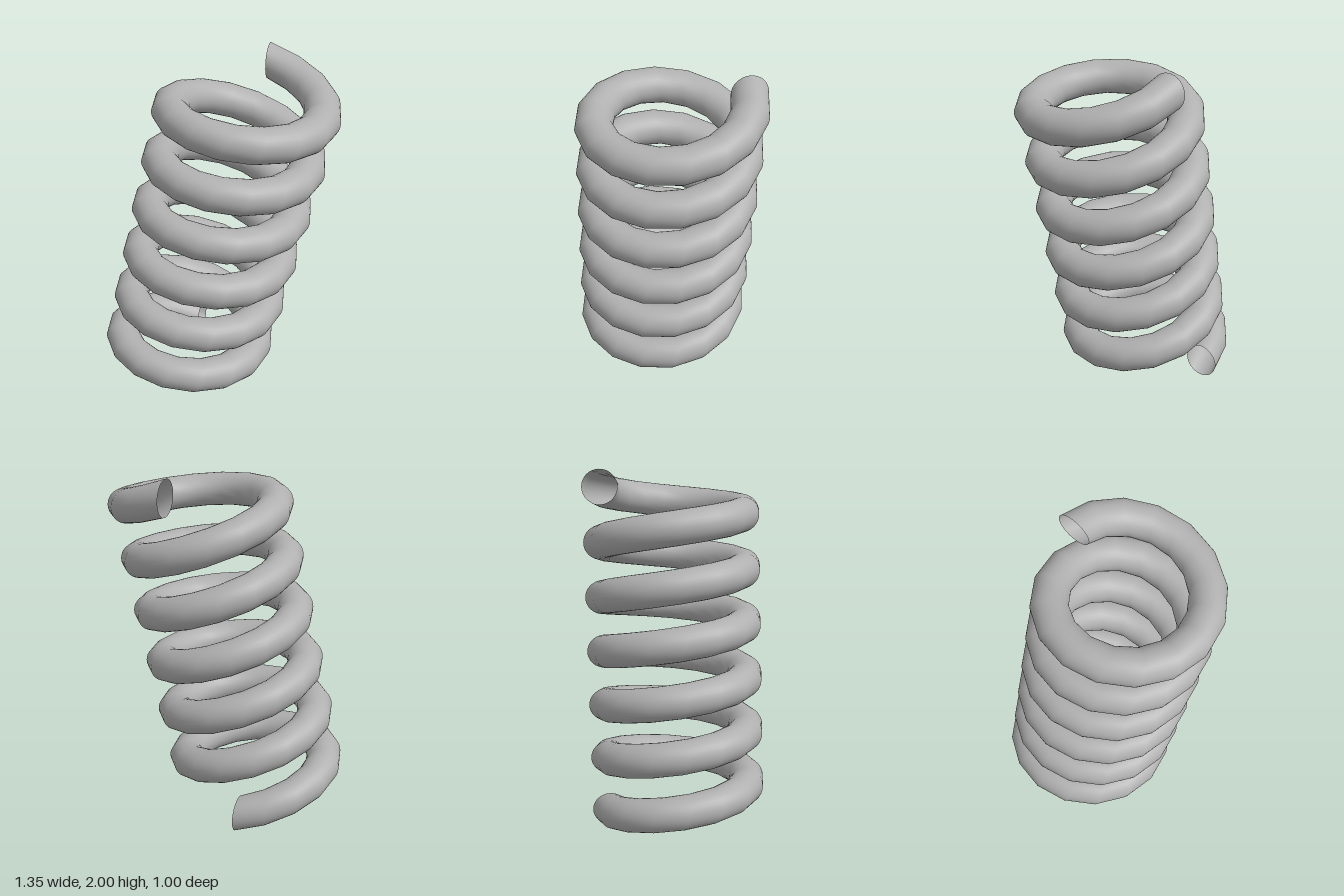
import * as THREE from 'three';

const TURNS = 6, STEPS = 16, SIDES = 32;
const COIL_RADIUS = 0.4, WIRE_RADIUS = 0.1;

// Sweeps an upright wire circle around a leaning axis, rising from start to end
function coilGeometry(start, end) {
  const axis = end.clone().sub(start).normalize();
  const rings = TURNS * STEPS;
  const positions = [], indices = [];
  for (let i = 0; i <= rings; i++) {
    const centre = start.clone().lerp(end, i / rings);
    const angle = (i / STEPS) * Math.PI * 2;
    for (let j = 0; j < SIDES; j++) {
      const a = (j / SIDES) * Math.PI * 2;
      const p = new THREE.Vector3(0, WIRE_RADIUS * Math.sin(a), -COIL_RADIUS - WIRE_RADIUS * Math.cos(a));
      p.applyAxisAngle(axis, angle).add(centre);
      positions.push(p.x, p.y, p.z);
      if (i < rings) {
        const k = (j + 1) % SIDES;
        const p0 = i * SIDES + j, p1 = i * SIDES + k;
        const q0 = p0 + SIDES, q1 = p1 + SIDES;
        indices.push(p0, p1, q0, p1, q1, q0);
      }
    }
  }
  const geometry = new THREE.BufferGeometry();
  geometry.setAttribute('position', new THREE.Float32BufferAttribute(positions, 3));
  geometry.setIndex(indices);
  geometry.computeVertexNormals();
  return geometry;
}

export function createModel() {
  const group = new THREE.Group();
  group.name = 'spring';

  // Open-ended wire, so both sides show
  const steel = new THREE.MeshStandardMaterial({ color: 0xb0b0b0, side: THREE.DoubleSide });
  steel.name = 'steel grey';

  const coil = new THREE.Mesh(
    coilGeometry(new THREE.Vector3(-0.2, 0.1, 0), new THREE.Vector3(0.2, 1.9, 0)),
    steel
  );
  coil.name = 'coil';
  group.add(coil);
  return group;
}
